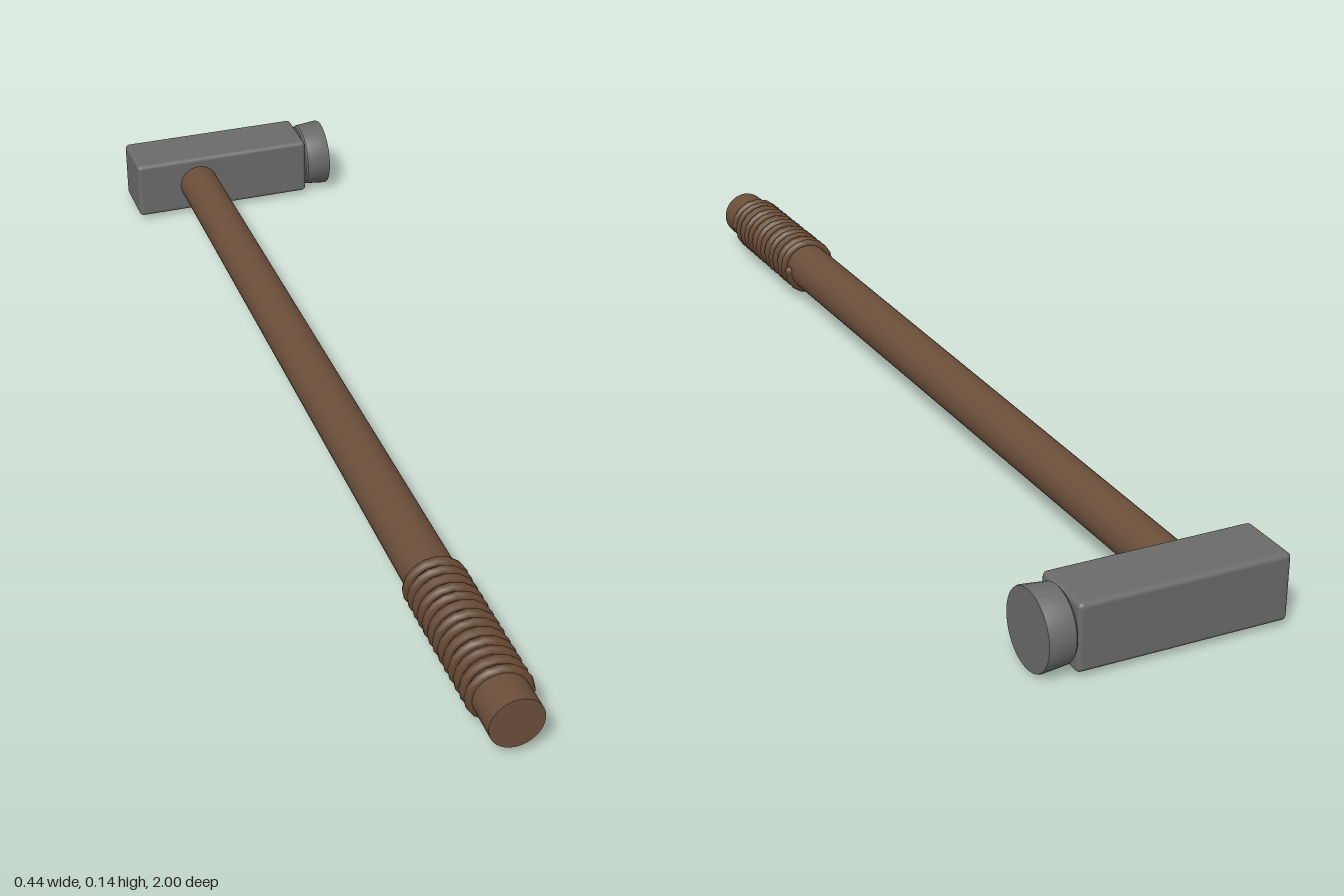
import * as THREE from 'three';
import { RoundedBoxGeometry } from 'three/addons/geometries/RoundedBoxGeometry.js';
import { toCreasedNormals } from 'three/addons/utils/BufferGeometryUtils.js';

const AXIS_X = -0.084, AXIS_Y = 0.073, HEAD_Z = -0.93;

export function createModel() {
  const model = new THREE.Group();
  model.name = 'hammer';
  const steel = new THREE.MeshStandardMaterial({ name: 'steel', color: 0x6b6b6b });
  const wood = new THREE.MeshStandardMaterial({ name: 'wood', color: 0x6b4f3a });
  const leather = new THREE.MeshStandardMaterial({ name: 'leather', color: 0x664933 });

  const add = (name, geometry, material, x, y, z) => {
    const mesh = new THREE.Mesh(geometry, material);
    mesh.name = name;
    mesh.position.set(x, y, z);
    model.add(mesh);
    return mesh;
  };

  // Block head with softened edges
  add('head', new RoundedBoxGeometry(0.384, 0.122, 0.122, 3, 0.009), steel, -0.028, AXIS_Y, HEAD_Z);

  // Flared striking face, turned around the x axis
  const profile = [[0, 0.155], [0.062, 0.165], [0.066, 0.169], [0.0705, 0.215], [0.0695, 0.2185], [0, 0.2185]]
    .map(([r, x]) => new THREE.Vector2(r, x));
  const face = toCreasedNormals(new THREE.LatheGeometry(profile, 40), 0.5);
  face.rotateZ(-Math.PI / 2);
  add('strikingFace', face, steel, 0, AXIS_Y, HEAD_Z);

  // Handle, slightly thicker at the butt and seated inside the head
  const handle = new THREE.CylinderGeometry(0.048, 0.041, 1.93, 32);
  handle.rotateX(Math.PI / 2);
  add('handle', handle, wood, AXIS_X, AXIS_Y, 0.035);

  // Cord wound around the grip
  const turns = 13, steps = turns * 16, points = [];
  for (let i = 0; i <= steps; i++) {
    const a = (i / 16) * Math.PI * 2;
    points.push(new THREE.Vector3(Math.cos(a) * 0.049, Math.sin(a) * 0.049, 0.932 - (0.312 * i) / steps));
  }
  const cord = new THREE.TubeGeometry(new THREE.CatmullRomCurve3(points), steps, 0.009, 8);
  add('gripCord', cord, leather, AXIS_X, AXIS_Y, 0);

  // Rounded cord ends
  for (const [name, p] of [['cordStart', points[0]], ['cordEnd', points[steps]]]) {
    add(name, new THREE.SphereGeometry(0.009, 10, 8), leather, AXIS_X + p.x, AXIS_Y + p.y, p.z);
  }
  return model;
}
